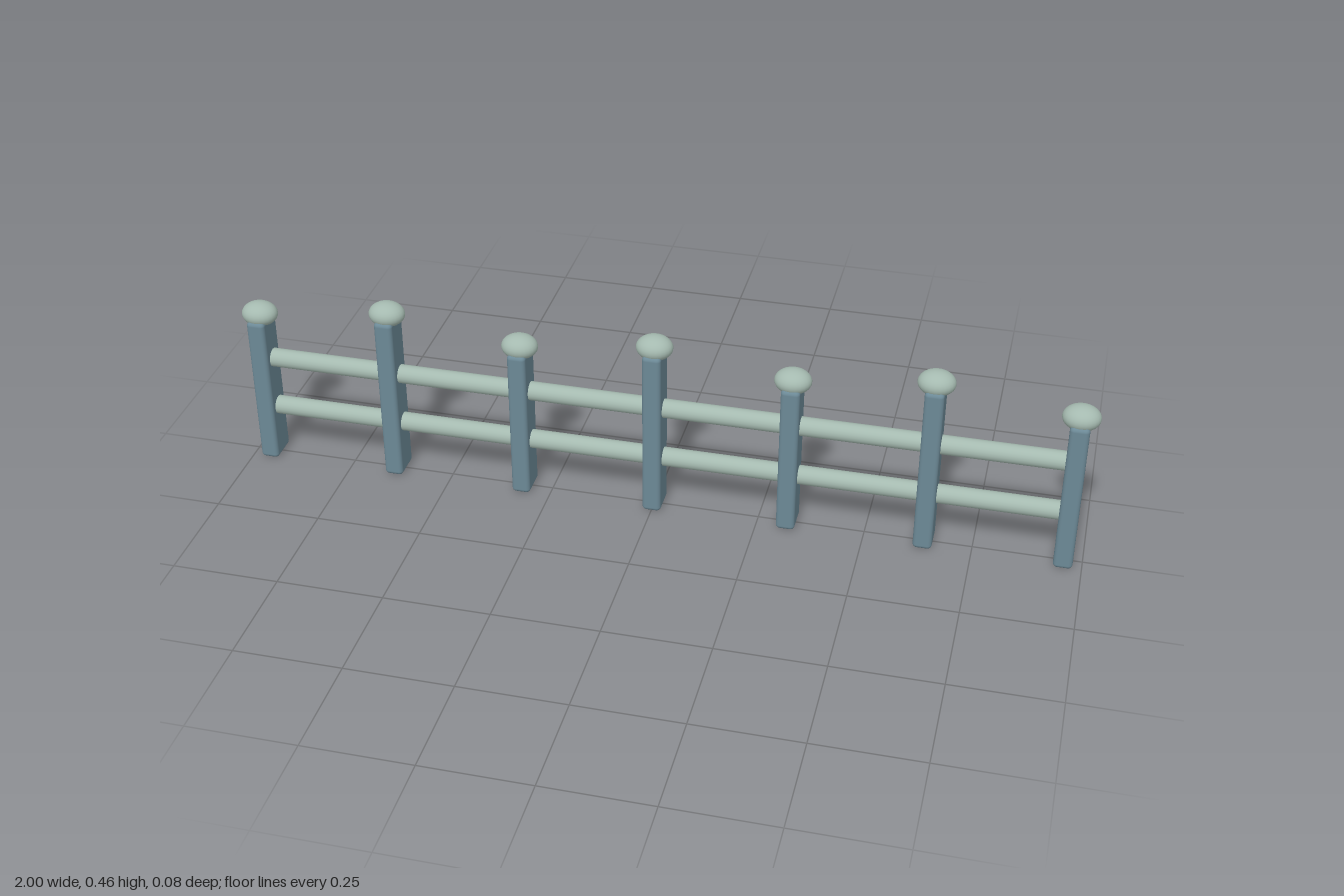
import * as THREE from 'three';
import { RoundedBoxGeometry } from 'three/addons/geometries/RoundedBoxGeometry.js';

export function createModel() {
  const fence = new THREE.Group();
  fence.name = 'fence';
  const postPaint = new THREE.MeshStandardMaterial({ color: 0x6c8996 });
  postPaint.name = 'slate blue';
  const railPaint = new THREE.MeshStandardMaterial({ color: 0xa5bab0 });
  railPaint.name = 'pale sage';

  const add = (name, geometry, material, x, y) => {
    const mesh = new THREE.Mesh(geometry, material);
    mesh.name = name;
    mesh.position.set(x, y, 0);
    fence.add(mesh);
  };

  // Seven posts of alternating height, each with a flattened round cap
  const spacing = 0.319;
  const capGeometry = new THREE.SphereGeometry(1, 24, 16).scale(0.043, 0.029, 0.037);
  for (let i = -3; i <= 3; i++) {
    const height = i % 2 === 0 ? 0.419 : 0.377;
    const post = new RoundedBoxGeometry(0.044, height, 0.077, 3, 0.01);
    // the centre post and every second one out from it are tall
    const tall = i === 0 || Math.abs(i) === 2;
    add(tall ? 'tallPost' : 'shortPost', post, postPaint, i * spacing, height / 2);
    add('postCap', capGeometry, railPaint, i * spacing, height + 0.009);
  }

  // Two round rails running through all posts
  const railGeometry = new THREE.CylinderGeometry(0.0225, 0.0225, 1.914, 20).rotateZ(Math.PI / 2);
  add('lowerRail', railGeometry, railPaint, 0, 0.135);
  add('upperRail', railGeometry, railPaint, 0, 0.268);

  return fence;
}
